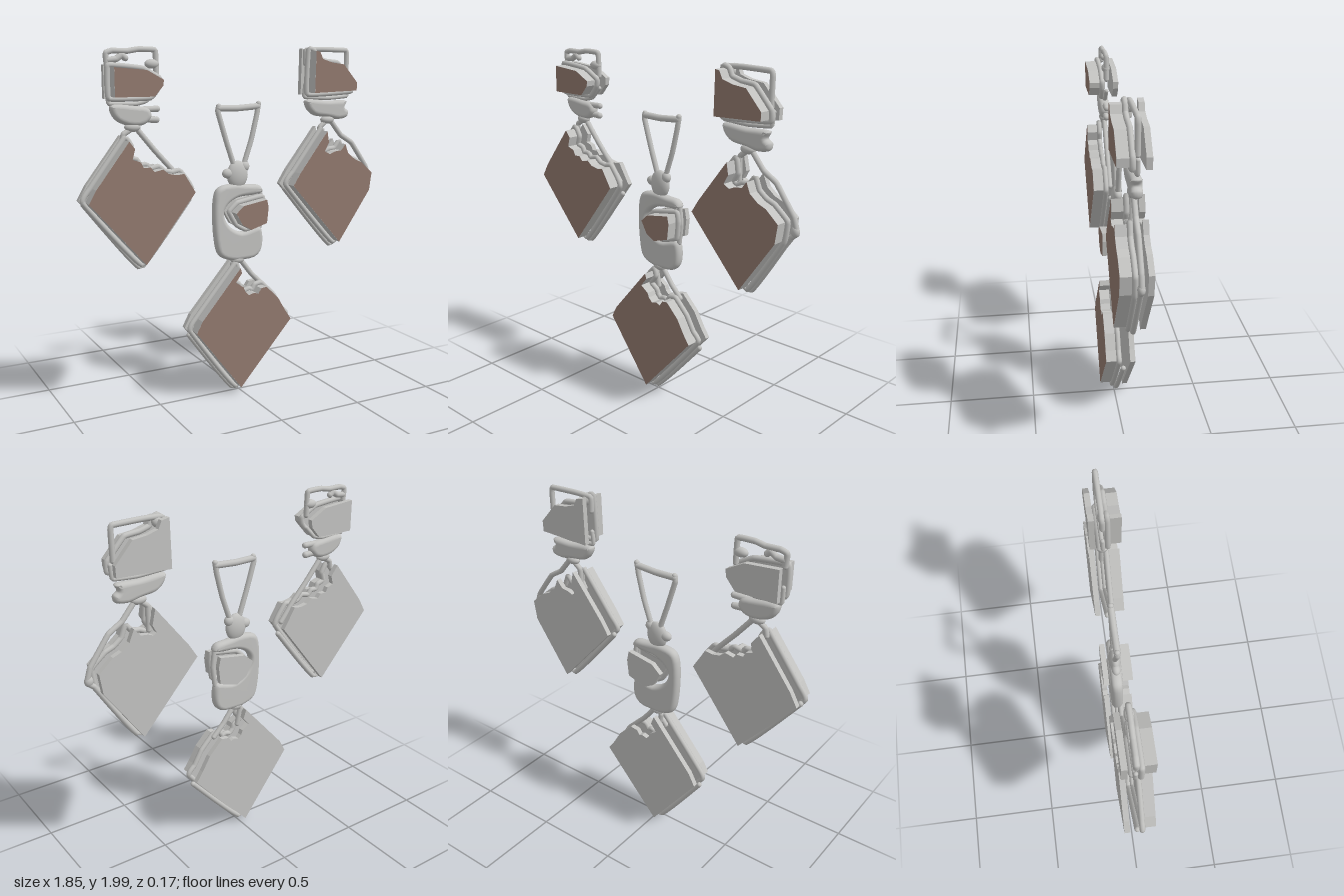
import * as THREE from 'three';
import { mergeVertices } from 'three/addons/utils/BufferGeometryUtils.js';

const silver = new THREE.MeshStandardMaterial({ color: 0xc2c2c0 });
silver.name = 'silver';
const brown = new THREE.MeshStandardMaterial({ color: 0x92796f });
brown.name = 'brown enamel';

const v2 = (pts) => pts.map(([x, y]) => new THREE.Vector2(x, y));

function add(parent, name, geometry, material = silver) {
  const mesh = new THREE.Mesh(geometry, material);
  mesh.name = name;
  parent.add(mesh);
  return mesh;
}

// Grow an outline outwards by d, with limited mitres
function offset(pts, d) {
  const p = v2(pts), n = p.length;
  const s = Math.sign(THREE.ShapeUtils.area(p));
  return p.map((c, i) => {
    const a = c.clone().sub(p[(i + n - 1) % n]).normalize();
    const b = p[(i + 1) % n].clone().sub(c).normalize();
    const m = new THREE.Vector2(a.y + b.y, -a.x - b.x).normalize();
    const k = Math.max(0.6, m.x * a.y - m.y * a.x);
    return [c.x + (m.x * s * d) / k, c.y + (m.y * s * d) / k];
  });
}

// Round wire through points, with rounded ends when open
function wire(parent, name, pts, r = 0.015, z = -0.015, closed = false) {
  const path = pts.map(([x, y]) => new THREE.Vector3(x, y, z));
  const curve = new THREE.CatmullRomCurve3(path, closed, 'catmullrom', 0.12);
  add(parent, name, new THREE.TubeGeometry(curve, pts.length * 12, r, 10, closed));
  if (closed) return;
  for (const end of [path[0], path[path.length - 1]]) {
    add(parent, name + 'End', new THREE.SphereGeometry(r, 10, 8)).position.copy(end);
  }
}

function slab(parent, name, pts, z, depth) {
  const g = new THREE.ExtrudeGeometry(new THREE.Shape(v2(pts)), { depth, bevelEnabled: false });
  add(parent, name, g.translate(0, 0, z));
}

// Enamelled plate: front slab with coloured face, wire rim and thin back plate
function plate(parent, name, pts) {
  const g = new THREE.Group();
  g.name = name;
  parent.add(g);
  slab(g, 'frontSlab', pts, 0.015, 0.067);
  const face = new THREE.ShapeGeometry(new THREE.Shape(v2(pts)));
  add(g, 'enamelFace', face.translate(0, 0, 0.083), brown);
  wire(g, 'rim', offset(pts, 0.008), 0.015, 0.01, true);
  slab(g, 'backPlate', offset(pts, 0.012), -0.083, 0.03);
}

// Soft pillow-like body from a smooth closed outline
function pillow(parent, name, pts, bevel = 0.024) {
  const curve = new THREE.CatmullRomCurve3(
    pts.map(([x, y]) => new THREE.Vector3(x, y, 0)), true, 'centripetal');
  const outline = curve.getPoints(pts.length * 5).slice(0, -1).map((p) => [p.x, p.y]);
  let g = new THREE.ExtrudeGeometry(new THREE.Shape(v2(outline)), {
    depth: 0.004, bevelThickness: 0.028, bevelSize: bevel, bevelOffset: -bevel, bevelSegments: 6,
  });
  g.deleteAttribute('normal');
  g.deleteAttribute('uv');
  g = mergeVertices(g, 1e-4);
  g.computeVertexNormals();
  add(parent, name, g.translate(0, 0, -0.017));
}

function blob(parent, name, x, y, rx, ry, rz = 0.028) {
  const m = add(parent, name, new THREE.SphereGeometry(1, 20, 14));
  m.scale.set(rx, ry, rz);
  m.position.set(x, y, -0.014);
}

function leftPendant() {
  const g = new THREE.Group();
  g.name = 'rightSidePendant';
  plate(g, 'upperPlate', [[-0.745, 1.885], [-0.57, 1.87], [-0.478, 1.82], [-0.482, 1.79],
    [-0.53, 1.735], [-0.745, 1.735]]);
  plate(g, 'diamondPlate', [[-0.675, 1.51], [-0.645, 1.47], [-0.66, 1.415], [-0.615, 1.40],
    [-0.60, 1.37], [-0.56, 1.37], [-0.54, 1.345], [-0.49, 1.355], [-0.46, 1.33], [-0.41, 1.32],
    [-0.37, 1.325], [-0.305, 1.22], [-0.595, 0.85], [-0.90, 1.20], [-0.86, 1.27]]);
  // Cup with two prongs
  pillow(g, 'cup', [[-0.74, 1.69], [-0.735, 1.645], [-0.70, 1.605], [-0.62, 1.58],
    [-0.55, 1.59], [-0.515, 1.63], [-0.53, 1.67], [-0.60, 1.685]]);
  wire(g, 'prong', [[-0.57, 1.615], [-0.485, 1.61]], 0.018);
  wire(g, 'prong', [[-0.57, 1.665], [-0.48, 1.667]], 0.017);
  wire(g, 'cupRim', [[-0.75, 1.78], [-0.745, 1.70], [-0.60, 1.695], [-0.54, 1.71], [-0.48, 1.77]], 0.012);
  // Handle on top
  wire(g, 'handle', [[-0.75, 1.89], [-0.755, 1.955], [-0.72, 1.967], [-0.64, 1.965],
    [-0.58, 1.975], [-0.485, 1.97], [-0.48, 1.84]]);
  wire(g, 'curl', [[-0.745, 1.92], [-0.70, 1.925], [-0.67, 1.945], [-0.65, 1.93]], 0.017);
  blob(g, 'handleKnob', -0.505, 1.9, 0.04, 0.025, 0.024);
  // Linking wires
  blob(g, 'link', -0.62, 1.575, 0.045, 0.025);
  wire(g, 'linkWire', [[-0.62, 1.57], [-0.67, 1.54], [-0.68, 1.50]]);
  wire(g, 'linkWire', [[-0.60, 1.57], [-0.50, 1.45], [-0.40, 1.34], [-0.32, 1.24]]);
  wire(g, 'lowerWire', [[-0.30, 1.17], [-0.595, 0.815], [-0.90, 1.185]]);
  return g;
}

function rightPendant() {
  const g = new THREE.Group();
  g.name = 'leftSidePendant';
  plate(g, 'upperPlate', [[0.455, 1.97], [0.48, 1.965], [0.50, 1.925], [0.565, 1.905],
    [0.645, 1.895], [0.74, 1.79], [0.738, 1.745], [0.45, 1.735]]);
  plate(g, 'diamondPlate', [[0.54, 1.515], [0.552, 1.45], [0.525, 1.40], [0.56, 1.38],
    [0.595, 1.395], [0.64, 1.40], [0.668, 1.435], [0.69, 1.38], [0.74, 1.34], [0.79, 1.32],
    [0.865, 1.255], [0.85, 1.15], [0.64, 0.85], [0.315, 1.21], [0.36, 1.28]]);
  // Cup with a notched side
  pillow(g, 'cup', [[0.445, 1.69], [0.455, 1.645], [0.50, 1.605], [0.59, 1.59], [0.67, 1.575],
    [0.735, 1.59], [0.74, 1.625], [0.715, 1.645], [0.73, 1.68], [0.60, 1.685]]);
  wire(g, 'cupRim', [[0.445, 1.78], [0.44, 1.71], [0.60, 1.70], [0.735, 1.71], [0.745, 1.78]], 0.012);
  // Handle on top
  wire(g, 'handle', [[0.445, 1.90], [0.445, 1.975], [0.55, 1.98], [0.72, 1.975],
    [0.73, 1.95], [0.728, 1.80]]);
  blob(g, 'handleKnob', 0.475, 1.955, 0.03, 0.03, 0.022);
  // Linking wires
  blob(g, 'link', 0.60, 1.575, 0.045, 0.025);
  wire(g, 'linkWire', [[0.60, 1.57], [0.55, 1.53], [0.55, 1.40]]);
  wire(g, 'linkWire', [[0.62, 1.575], [0.70, 1.48], [0.78, 1.43], [0.89, 1.28], [0.915, 1.20], [0.88, 1.17]]);
  blob(g, 'sideKnob', 0.905, 1.205, 0.024, 0.03, 0.02);
  wire(g, 'lowerWire', [[0.88, 1.17], [0.64, 0.815], [0.31, 1.185]]);
  return g;
}

function centrePendant() {
  const g = new THREE.Group();
  g.name = 'centrePendant';
  plate(g, 'smallPlate', [[-0.055, 1.08], [-0.01, 1.12], [0.14, 1.145], [0.15, 1.10],
    [0.14, 1.01], [0.04, 0.98], [-0.015, 1.01]]);
  plate(g, 'diamondPlate', [[-0.03, 0.765], [-0.02, 0.735], [-0.06, 0.685], [-0.01, 0.65],
    [0.0, 0.625], [0.025, 0.60], [0.06, 0.61], [0.085, 0.60], [0.105, 0.63], [0.14, 0.635],
    [0.22, 0.555], [0.27, 0.47], [0.305, 0.42], [-0.025, 0.05], [-0.305, 0.42], [-0.27, 0.485]]);
  // Open C-shaped body
  pillow(g, 'body', [[-0.15, 1.16], [-0.125, 1.215], [-0.05, 1.235], [0.07, 1.225],
    [0.14, 1.215], [0.16, 1.18], [0.11, 1.165], [0.0, 1.155], [-0.065, 1.12], [-0.09, 1.07],
    [-0.06, 1.0], [0.02, 0.955], [0.14, 0.975], [0.158, 0.93], [0.15, 0.84], [0.11, 0.80],
    [0.03, 0.79], [-0.05, 0.795], [-0.12, 0.83], [-0.148, 0.93]]);
  wire(g, 'bodySide', [[0.145, 1.19], [0.158, 1.08], [0.145, 0.97]], 0.014);
  // Head with side nubs
  blob(g, 'head', 0, 1.285, 0.065, 0.08, 0.032);
  blob(g, 'nub', -0.06, 1.295, 0.035, 0.028, 0.024);
  blob(g, 'nub', 0.045, 1.33, 0.03, 0.03, 0.024);
  // Hanging loop
  wire(g, 'loopSide', [[-0.025, 1.35], [-0.07, 1.48], [-0.12, 1.64], [-0.115, 1.67]]);
  wire(g, 'loopSide', [[0.045, 1.35], [0.09, 1.48], [0.125, 1.62], [0.135, 1.68]]);
  wire(g, 'loopBar', [[-0.115, 1.66], [0.0, 1.657], [0.13, 1.665]], 0.018);
  // Linking wires
  blob(g, 'link', 0.0, 0.795, 0.045, 0.025);
  wire(g, 'linkWire', [[-0.01, 0.80], [-0.03, 0.77], [-0.01, 0.67]]);
  wire(g, 'linkWire', [[0.02, 0.79], [0.09, 0.70], [0.155, 0.635]]);
  wire(g, 'lowerWire', [[0.305, 0.37], [-0.025, 0.017], [-0.31, 0.385]]);
  return g;
}

export function createModel() {
  const model = new THREE.Group();
  model.name = 'threePendants';
  model.add(leftPendant(), rightPendant(), centrePendant());
  return model;
}
